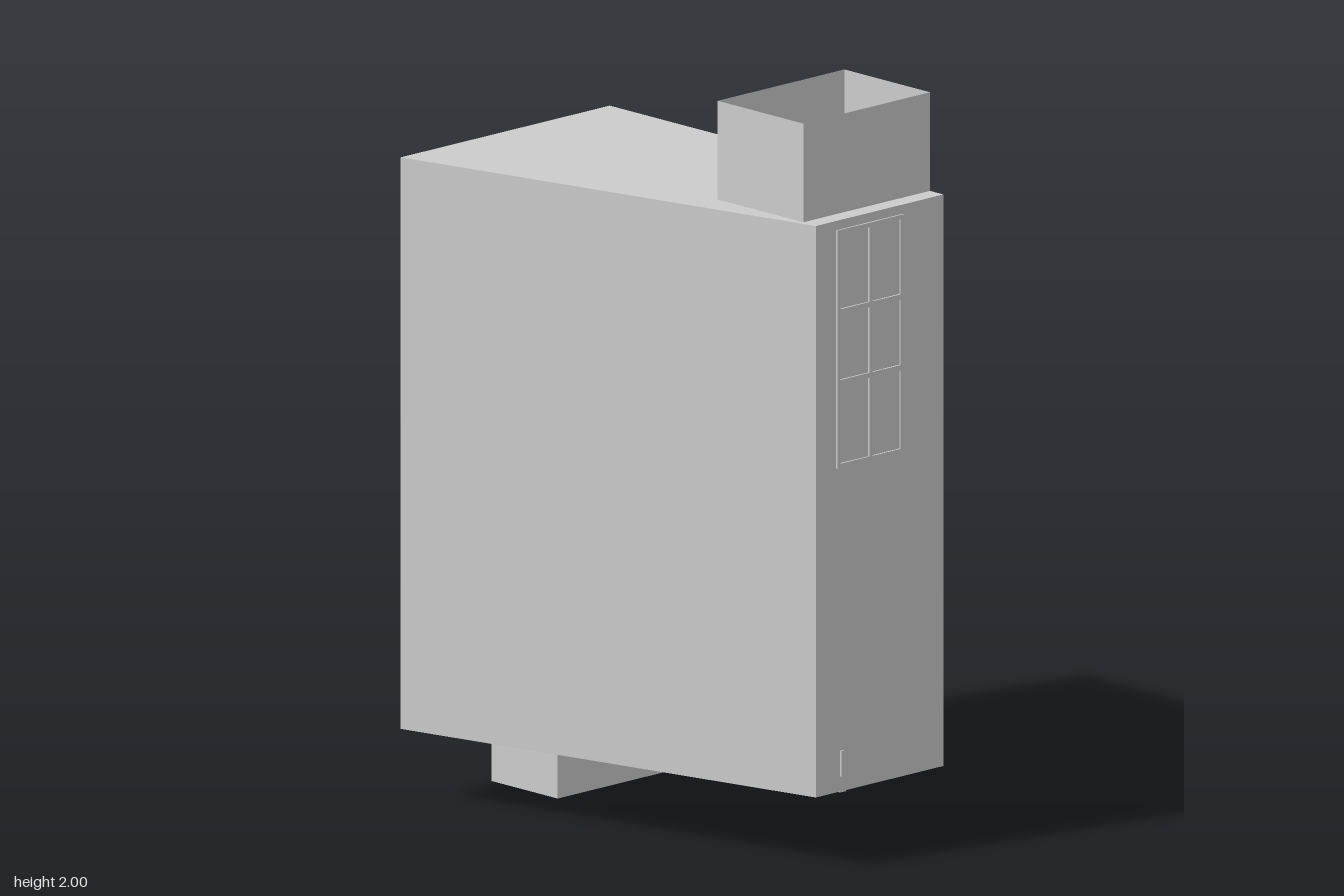
import * as THREE from 'three';

const material = new THREE.MeshStandardMaterial({ color: 0xcccccc, side: THREE.DoubleSide });
const BACK = -0.377, LEFT = 0.62, RIGHT = -0.628;
const BASE = 0.2, ROOF = 1.735;

function add(parent, name, geometry) {
  const mesh = new THREE.Mesh(geometry, material);
  mesh.name = name;
  parent.add(mesh);
}

// Thin upright walls following a closed plan of [x, z] corners
function walls(plan, y0, y1) {
  const positions = [];
  plan.forEach(([ax, az], i) => {
    const [bx, bz] = plan[(i + 1) % plan.length];
    positions.push(ax, y0, az, bx, y0, bz, bx, y1, bz, ax, y0, az, bx, y1, bz, ax, y1, az);
  });
  const geometry = new THREE.BufferGeometry();
  geometry.setAttribute('position', new THREE.Float32BufferAttribute(positions, 3));
  geometry.computeVertexNormals();
  return geometry;
}

// Flat sheet with the given plan at height y
function sheet(plan, y) {
  const shape = new THREE.Shape(plan.map(([x, z]) => new THREE.Vector2(x, z)));
  return new THREE.ShapeGeometry(shape).rotateX(Math.PI / 2).translate(0, y, 0);
}

// Plan corners, ordered so that the walls face outwards
const rect = (x0, x1, z0, z1) => [[x0, z1], [x1, z1], [x1, z0], [x0, z0]];

// Raised bar on a side wall, spanning z and y ranges
function bar(parent, name, x, z0, z1, y0, y1) {
  const geometry = new THREE.BoxGeometry(0.006, y1 - y0, z1 - z0);
  add(parent, name, geometry.translate(x, (y0 + y1) / 2, (z0 + z1) / 2));
}

function frame(parent, name, x, z0, z1, y0, y1, t) {
  bar(parent, name, x, z0, z0 + t, y0, y1);
  bar(parent, name, x, z1 - t, z1, y0, y1);
  bar(parent, name, x, z0 + t, z1 - t, y0, y0 + t);
  bar(parent, name, x, z0 + t, z1 - t, y1 - t, y1);
}

export function createModel() {
  const model = new THREE.Group();
  model.name = 'building';

  // Wedge-shaped main block; the roof is notched under the upper shaft
  const plan = [[RIGHT, 0.377], [LEFT, 0.083], [LEFT, BACK], [RIGHT, BACK]];
  const notch = [[0.5, BACK], [0.5, 0], [0.34, 0], [0.34, BACK]];
  add(model, 'mainWalls', walls(plan, BASE, ROOF));
  add(model, 'floor', sheet(plan, BASE));
  add(model, 'roof', sheet([...plan.slice(0, 3), ...notch, plan[3]], ROOF));

  // Open shafts above and below
  add(model, 'upperShaft', walls(rect(0.25, 0.57, BACK, 0.08), ROOF, 2));
  add(model, 'lowerShaft', walls(rect(RIGHT, -0.38, BACK, 0.05), 0, BASE));

  // Slim rail lying along the floor, with its end stop on the side wall
  const rail = new THREE.BoxGeometry(0.65, 0.02, 0.02);
  add(model, 'floorRail', rail.translate(0.295, BASE + 0.007, -0.015));
  bar(model, 'railStop', LEFT + 0.002, -0.015, -0.005, 0.24, 0.31);

  // Six-pane window
  const window = new THREE.Group();
  window.name = 'window';
  model.add(window);
  const wx = LEFT + 0.002;
  frame(window, 'windowFrame', wx, -0.23, 0.01, 1.07, 1.71, 0.012);
  bar(window, 'mullion', wx, -0.117, -0.105, 1.08, 1.7);
  for (const y of [1.3, 1.49]) bar(window, 'glazingBar', wx, -0.22, 0, y - 0.007, y + 0.007);

  // Door with two panels
  const door = new THREE.Group();
  door.name = 'door';
  model.add(door);
  frame(door, 'doorFrame', RIGHT, 0.13, 0.36, 0.22, 0.96, 0.02);
  for (const y of [0.25, 0.6]) frame(door, 'doorPanel', RIGHT + 0.001, 0.155, 0.335, y, y + 0.33, 0.012);

  return model;
}
